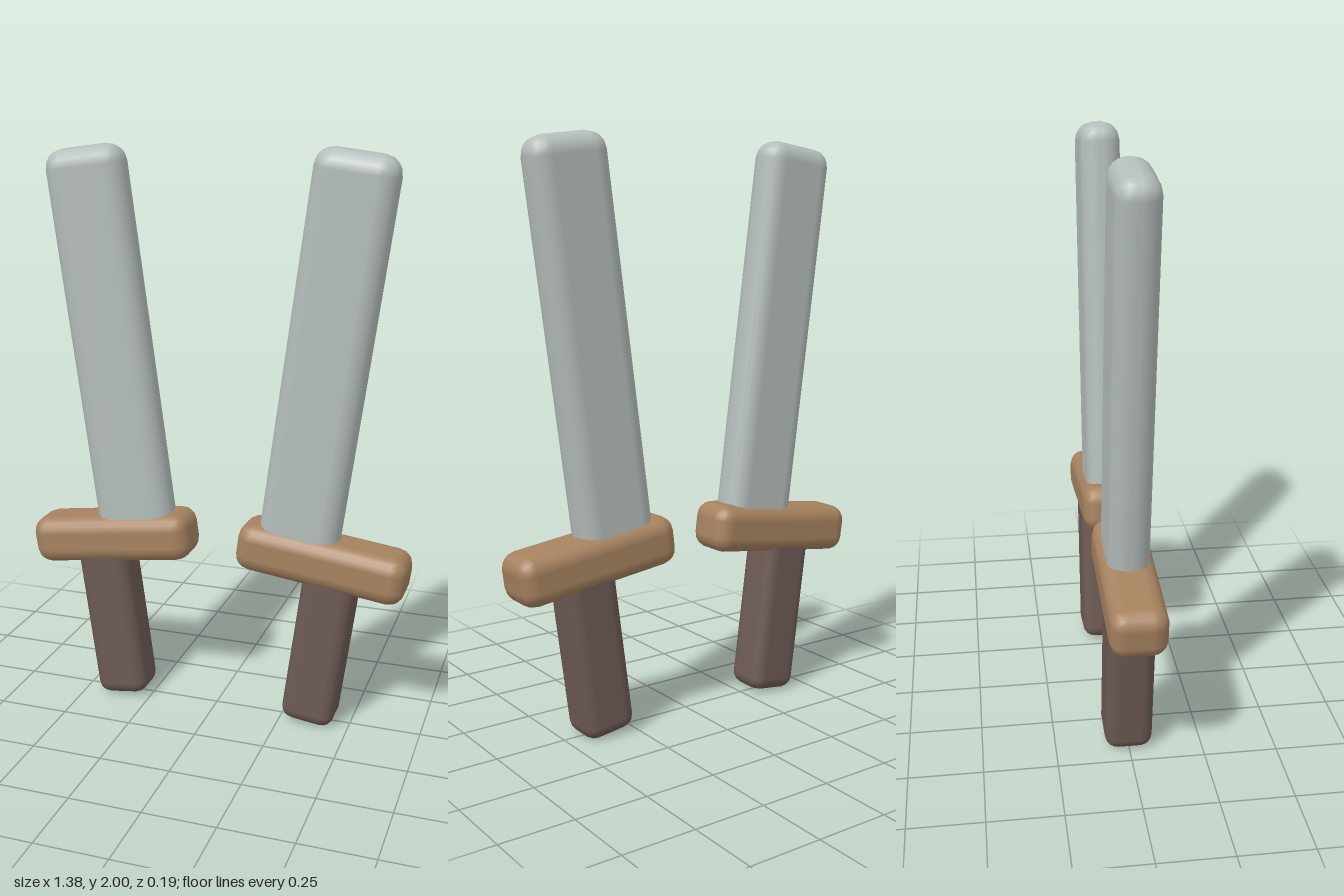
import * as THREE from 'three';
import { RoundedBoxGeometry } from 'three/addons/geometries/RoundedBoxGeometry.js';

const TILT = THREE.MathUtils.degToRad(7.5);

const steel = new THREE.MeshStandardMaterial({ color: 0xb4bdba });
const wood = new THREE.MeshStandardMaterial({ color: 0xa6825f });
const grip = new THREE.MeshStandardMaterial({ color: 0x6d5a54 });

// Rounded bar spanning y0..y1, centred on x
function bar(name, material, width, y0, y1, depth, radius, x) {
  const geometry = new RoundedBoxGeometry(width, y1 - y0, depth, 2, radius);
  const mesh = new THREE.Mesh(geometry, material);
  mesh.name = name;
  mesh.position.set(x, (y0 + y1) / 2, 0);
  return mesh;
}

// One sword with its origin at the guard's centre; side is +1 (left) or -1 (right)
function createSword(side) {
  const sword = new THREE.Group();
  sword.name = side > 0 ? 'leftSword' : 'rightSword';
  sword.add(
    bar('blade', steel, 0.285, 0, 1.375, 0.142, 0.065, -0.095 * side),
    bar('guard', wood, 0.6, -0.085, 0.085, 0.19, 0.055, 0),
    bar('handle', grip, 0.19, -0.608, 0, 0.164, 0.045, 0.042 * side)
  );
  sword.position.set(0.387 * side, 0.615, 0);
  sword.rotation.z = -TILT * side;
  return sword;
}

export function createModel() {
  const model = new THREE.Group();
  model.name = 'swordPair';
  for (const side of [1, -1]) model.add(createSword(side));
  return model;
}
